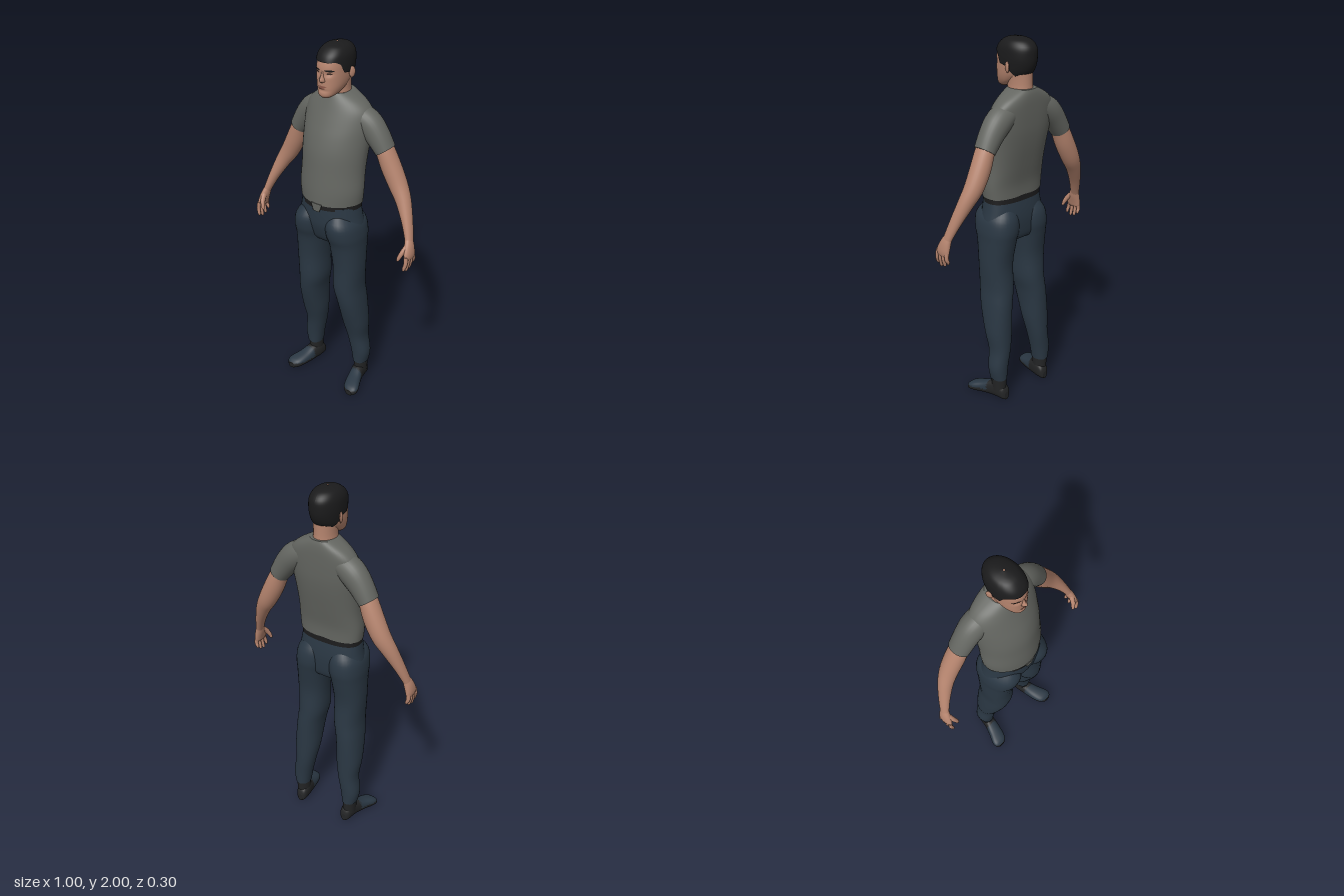
import * as THREE from 'three';

const mat = (name, color) => Object.assign(new THREE.MeshStandardMaterial({ color }), { name });
const clamp = THREE.MathUtils.clamp;

// Catmull-Rom sample of a list of parameter rows at t (in row units)
function sample(rows, t) {
  const n = rows.length - 1;
  t = clamp(t, 0, n);
  const i = Math.min(Math.floor(t), n - 1), f = t - i;
  const [a, b, c, d] = [-1, 0, 1, 2].map(k => rows[clamp(i + k, 0, n)]);
  return b.map((p1, k) => {
    const p0 = a[k], p2 = c[k], p3 = d[k];
    return p1 + 0.5 * f * (p2 - p0 + f * (2 * p0 - 5 * p1 + 4 * p2 - p3 + f * (3 * (p1 - p2) + p3 - p0)));
  });
}

// Closed skin through rings; pick(centroid) chooses the material of each face
function loft(rows, ring, { side = 1, seg = 28, sub = 4, pick = null } = {}) {
  const pos = [], m = (rows.length - 1) * sub, tris = [];
  for (let i = 0; i <= m; i++) {
    const t = i / sub, p = sample(rows, t);
    const a = sample(rows, t - 0.05), b = sample(rows, t + 0.05);
    const dir = new THREE.Vector3(b[0] - a[0], b[1] - a[1], b[2] - a[2]).normalize();
    for (let j = 0; j < seg; j++) {
      const q = ring(p, j / seg * Math.PI * 2, dir);
      pos.push(q[0] * side, q[1], q[2]);
    }
  }
  for (let i = 0; i < m; i++) for (let j = 0; j < seg; j++) {
    const k = (j + 1) % seg, a = i * seg + j, b = i * seg + k, c = a + seg, d = b + seg;
    tris.push([a, c, b], [b, c, d]);
  }
  for (const [i, flip] of [[0, false], [m, true]]) {
    const base = pos.length / 3, mid = [0, 0, 0];
    for (let j = 0; j < seg; j++) for (let k = 0; k < 3; k++) {
      const v = pos[(i * seg + j) * 3 + k];
      pos.push(v);
      mid[k] += v / seg;
    }
    pos.push(...mid);
    for (let j = 0; j < seg; j++) {
      const a = base + j, b = base + (j + 1) % seg, c = base + seg;
      tris.push(flip ? [a, c, b] : [a, b, c]);
    }
  }
  // turn faces outward by the sign of the enclosed volume
  const V = i => new THREE.Vector3().fromArray(pos, i * 3);
  let vol = 0;
  for (const [a, b, c] of tris) vol += V(a).dot(V(b).cross(V(c)));
  if (vol < 0) tris.forEach(t => t.reverse());
  const g = new THREE.BufferGeometry();
  g.setAttribute('position', new THREE.Float32BufferAttribute(pos, 3));
  if (pick) {
    const sets = [[], []];
    for (const t of tris) sets[pick(V(t[0]).add(V(t[1])).add(V(t[2])).divideScalar(3))].push(...t);
    g.setIndex(sets.flat());
    g.addGroup(0, sets[0].length, 0);
    g.addGroup(sets[0].length, sets[1].length, 1);
  } else g.setIndex(tris.flat());
  g.computeVertexNormals();
  return g;
}

const pw = (v, e) => Math.sign(v) * Math.abs(v) ** (2 / e);
// Level ring: y, half width, front z, back z, z of the widest point, centre x
const level = (ef = 2, eb = 2) => ([y, w, zf, zb, zc, cx = 0], a) => {
  const s = Math.sin(a), e = s > 0 ? ef : eb;
  return [cx + w * pw(Math.cos(a), e), y, zc + (s > 0 ? zf - zc : zc - zb) * pw(s, e)];
};
// Limb ring across a path: x, y, z, radius in the front plane, radius in depth
const limb = ([x, y, z, ru, rv], a, d) => {
  const u = new THREE.Vector3(-d.y, d.x, 0).normalize(), v = new THREE.Vector3().crossVectors(d, u);
  return new THREE.Vector3(x, y, z).addScaledVector(u, ru * Math.cos(a)).addScaledVector(v, rv * Math.sin(a)).toArray();
};
// Shoe ring standing across z: z, centre x, half width, height
const shoeRing = ([z, cx, w, h], a) => [cx + w * pw(Math.cos(a), 2.5), h / 2 + h / 2 * pw(Math.sin(a), 2.5), z];

const HEAD = [
  [1.742, .022, .072, .03, .05], [1.755, .042, .083, -.01, .03], [1.775, .057, .084, -.05, .005],
  [1.80, .067, .083, -.09, -.01], [1.83, .073, .083, -.123, -.025], [1.87, .076, .083, -.14, -.035],
  [1.91, .077, .079, -.145, -.04], [1.95, .073, .064, -.142, -.04], [1.978, .057, .036, -.118, -.04],
  [1.99, .033, .008, -.085, -.04], [1.995, .004, -.035, -.043, -.04]];
// Eye sockets, cheeks and chin crease
const relief = (x, y) =>
  -.009 * Math.exp(-(((Math.abs(x) - .033) / .017) ** 2) - ((y - 1.868) / .012) ** 2)
  - .004 * Math.exp(-((x / .03) ** 2) - ((y - 1.782) / .008) ** 2);
const headRing = (p, a) => {
  const q = level(2.3, 2)(p, a);
  if (Math.sin(a) > 0) q[2] += relief(q[0], q[1]);
  return q;
};
function faceZ(x, y) {
  let lo = 0, hi = 9;
  for (let i = 0; i < 30; i++) {
    const t = (lo + hi) / 2;
    if (sample(HEAD, t)[0] < y) lo = t; else hi = t;
  }
  const [, w, zf, , zc] = sample(HEAD, lo);
  return zc + (zf - zc) * Math.max(0, 1 - Math.abs(x / w) ** 2.3) ** (1 / 2.3) + relief(x, y);
}
// Thin oval lying on the face
function facePatch(x, y, rx, ry, tilt, lift = .003) {
  const g = new THREE.RingGeometry(0, 1, 20, 3).scale(rx, ry, 1).rotateZ(tilt).translate(x, y, 0);
  const p = g.attributes.position;
  for (let i = 0; i < p.count; i++) p.setZ(i, faceZ(p.getX(i), p.getY(i)) + lift);
  g.computeVertexNormals();
  return g;
}
// Short hair: head surface pushed out, above a hairline that varies around the head
function hairGeometry() {
  const line = [[-1, 3.3], [-.7, 3.4], [-.35, 4.1], [0, 4.8], [.3, 5], [.5, 6.1], [.75, 6.4], [1, 6.35]];
  const g = new THREE.PlaneGeometry(1, 1, 64, 24), p = g.attributes.position;
  for (let i = 0; i < p.count; i++) {
    const a = -(p.getX(i) + .5) * Math.PI * 2 - Math.PI / 2, s = Math.sin(a);
    const k = clamp(line.findIndex(l => l[0] >= s), 1, line.length - 1);
    const [s0, t0] = line[k - 1], [s1, t1] = line[k];
    const start = t0 + (t1 - t0) * clamp((s - s0) / (s1 - s0), 0, 1);
    const v = p.getY(i) + .5, t = start + (10 - start) * v;
    const q = level(2.3, 2)(sample(HEAD, t), a), grow = 1.06;
    p.setXYZ(i, q[0] * grow, q[1] + .005 * clamp((t - 6) / 4, 0, 1), -.035 + (q[2] + .035) * grow);
  }
  g.computeVertexNormals();
  return g;
}

export function createModel() {
  const root = new THREE.Group();
  root.name = 'standingMan';
  const skin = mat('skin', 0xb5846e), shirt = mat('shirtGrey', 0x646661), denim = mat('trouserBlue', 0x2a3743);
  const black = mat('hairBlack', 0x1b1b1c), leather = mat('shoeBlack', 0x232425), lip = mat('lips', 0x8a5749);
  const brown = mat('browBrown', 0x3a2720);
  black.side = THREE.DoubleSide;
  const add = (name, g, m) => {
    const mesh = new THREE.Mesh(g, m);
    mesh.name = name;
    root.add(mesh);
    return mesh;
  };

  // Shirt body, hem flap, belt and hips
  add('shirtBody', loft([
    [1.178, .178, .14, -.085, 0], [1.25, .184, .138, -.088, 0], [1.35, .18, .13, -.108, -.01], [1.45, .184, .12, -.128, -.025],
    [1.53, .19, .1, -.14, -.045], [1.6, .194, .073, -.145, -.06], [1.66, .186, .048, -.147, -.07],
    [1.70, .152, .032, -.147, -.07], [1.73, .105, .02, -.144, -.066], [1.75, .066, .012, -.138, -.063]],
    level(1.85, 2.6), { seg: 48 }), shirt);
  add('hemFlap', new THREE.CylinderGeometry(.036, .02, .045, 12).scale(1, 1, .12).translate(0, 1.162, .139), shirt);
  add('belt', loft([[1.152, .172, .137, -.088, 0], [1.182, .17, .134, -.085, 0]], level(1.85, 2.5), { seg: 40 }), black);
  add('hips', loft([
    [.94, .16, .085, -.085, 0], [.97, .19, .105, -.095, 0], [1.04, .192, .128, -.1, 0], [1.1, .18, .133, -.096, 0],
    [1.165, .168, .132, -.085, 0]], level(2, 2.4), { seg: 40 }), denim);

  // Neck and head
  add('neck', loft([[1.7, .07, .015, -.135, -.06], [1.755, .058, .01, -.126, -.055], [1.83, .06, .01, -.125, -.055]], level()), skin);
  add('head', loft(HEAD, headRing, { seg: 64, sub: 6 }), skin);
  add('hair', hairGeometry(), black);
  add('nose', loft([
    [1.823, .007, .084, .06, .07], [1.829, .016, .097, .06, .075], [1.84, .016, .104, .06, .075],
    [1.86, .01, .094, .06, .07], [1.892, .009, .08, .06, .065]], level(1.7), { seg: 18 }), skin);
  add('upperLip', facePatch(0, 1.803, .025, .0045, 0), lip);
  add('lowerLip', facePatch(0, 1.795, .02, .005, 0, .004), lip);

  for (const s of [1, -1]) {
    const side = s > 0 ? 'left' : 'right', o = { side: s };
    // Eyes, brows and ears
    add(side + 'Brow', facePatch(s * .035, 1.886, .021, .005, s * -.06), black);
    add(side + 'Eye', facePatch(s * .034, 1.869, .013, .0045, 0, .002), brown);
    add(side + 'Ear', new THREE.SphereGeometry(1, 14, 10).scale(.008, .029, .018)
      .rotateY(s * -.35).translate(s * .083, 1.858, -.05), skin);

    // Sleeve, arm and hand
    add(side + 'Sleeve', loft([
      [.07, 1.655, -.07, .05, .06], [.125, 1.63, -.072, .066, .068], [.175, 1.597, -.077, .071, .068],
      [.222, 1.545, -.08, .064, .063], [.268, 1.478, -.083, .053, .058]], limb, o), shirt);
    add(side + 'Arm', loft([
      [.235, 1.53, -.08, .044, .048], [.265, 1.48, -.083, .047, .052], [.302, 1.395, -.088, .053, .053],
      [.347, 1.307, -.088, .05, .049], [.39, 1.235, -.075, .041, .041], [.435, 1.14, -.048, .028, .033],
      [.465, 1.06, -.024, .02, .027], [.473, 1.03, -.015, .018, .028]], limb, o), skin);
    add(side + 'Palm', loft([
      [.464, 1.065, -.025, .017, .024], [.474, 1.03, -.014, .021, .034], [.483, .99, -.004, .019, .043],
      [.485, .965, 0, .014, .041], [.485, .955, 0, .005, .03]], limb, o), skin);
    [.905, .893, .899, .918].forEach((tip, i) => {
      const z = .033 - i * .022, z2 = .042 - i * .026;
      add(side + 'Finger' + (i + 1), loft([
        [.485, .985, z, .011, .011], [.489, .95, (z + z2) / 2, .011, .0105], [.482, tip + .015, z2, .009, .009],
        [.479, tip + .004, z2, .006, .006], [.478, tip, z2, .001, .001]], limb, { side: s, seg: 10 }), skin);
    });
    add(side + 'Thumb', loft([
      [.472, 1.035, .0, .014, .015], [.462, 1.005, .028, .013, .014], [.452, .978, .042, .011, .011],
      [.446, .96, .047, .007, .007], [.445, .955, .048, .001, .001]], limb, { side: s, seg: 12 }), skin);

    // Trouser leg
    add(side + 'TrouserLeg', loft([
      [1.13, .085, .05, .1, -.07, 0], [1.07, .097, .088, .143, -.108, 0], [1.0, .103, .097, .14, -.118, 0],
      [.93, .11, .09, .118, -.108, 0], [.8, .118, .083, .102, -.09, 0], [.67, .116, .079, .1, -.098, 0],
      [.58, .128, .073, .088, -.105, -.01], [.5, .135, .071, .068, -.108, -.02], [.4, .14, .069, .038, -.11, -.035],
      [.3, .145, .056, .01, -.112, -.05], [.2, .162, .053, -.002, -.11, -.055], [.125, .162, .041, -.008, -.108, -.058]]
      .map(([y, x, w, f, b, c]) => [y, w, f, b, c, x]), level(2.2, 2.2), { side: s, seg: 32 }), denim);

    // Sock and shoe, with a blue instep
    add(side + 'Sock', loft([[.05, .035, -.015, -.102, -.06, .16], [.14, .038, -.012, -.106, -.06, .161]], level(), o), leather);
    add(side + 'Shoe', loft([
      [-.113, .153, .014, .045], [-.1, .154, .03, .075], [-.06, .157, .036, .1], [-.02, .164, .037, .095],
      [.03, .178, .042, .073], [.08, .196, .047, .058], [.11, .204, .04, .046], [.127, .207, .02, .03]],
      shoeRing, { side: s, seg: 32, pick: c => (c.z > .0 && c.y > .032 ? 1 : 0) }), [leather, denim]);
  }
  return root;
}
